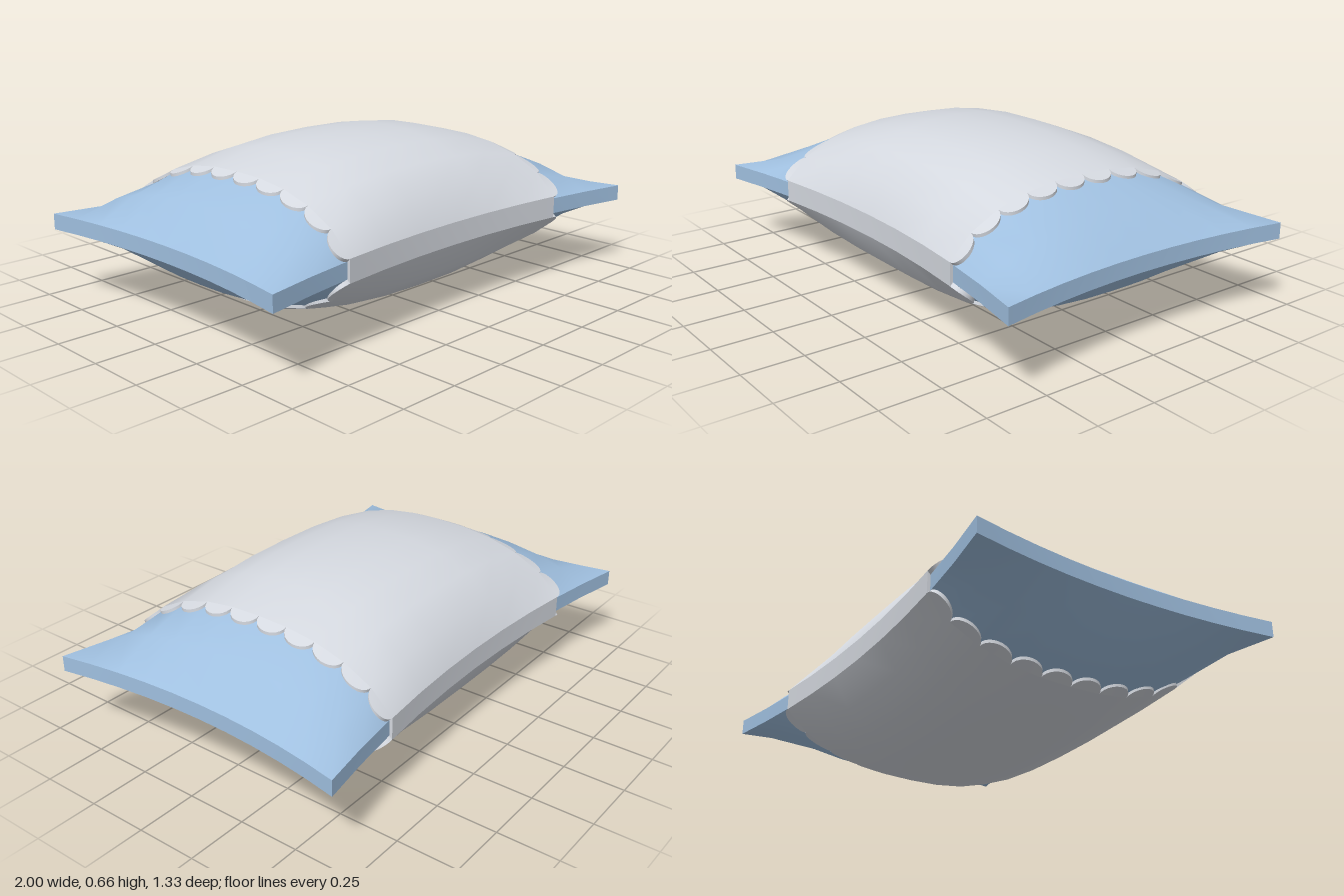
import * as THREE from 'three';
import { mergeGeometries } from 'three/addons/utils/BufferGeometryUtils.js';

const MID = 0.333;      // height of the seam's centre line
const SEAM = 0.0325;    // half height of the seam wall
const PUFF = 0.285;     // bulge above the seam
const CELLS = 10;       // pillow grid
const BAND = 0.6;       // half width of the wrap, as a fraction of the pillow
const LIFT = 0.0125;    // wrap thickness
const LACE = 0.05;      // scallop depth

// Pinched pillow surface at a grid node; u runs along x, v along z, side is +1 top or -1 bottom
function node(u, v, side, lift) {
  const bulge = (t) => 1 - Math.pow(Math.abs(t), 2.5);
  const pu = Math.pow(u, 6) * Math.sign(u), pv = Math.pow(v, 6) * Math.sign(v);
  return new THREE.Vector3(
    u - pu * 0.065 * (1 - v * v) - 0.004 * (1 - v * v) * u * u,
    MID + side * (SEAM + lift + PUFF * bulge(u) * bulge(v)),
    v * 0.665 - pv * (0.104 * (1 - u * u) - lift) - 0.007 * (1 - u * u) * v * v
  );
}

// Blend between grid nodes, so that trims lie flat on the pillow's facets
function surface(u, v, side, lift = 0) {
  const cell = (t) => Math.min(CELLS - 1, Math.max(0, Math.floor((t + 1) * CELLS / 2 + 1e-6)));
  const i = cell(u), j = cell(v);
  const at = (k) => k * 2 / CELLS - 1;
  const fu = (u - at(i)) * CELLS / 2, fv = (v - at(j)) * CELLS / 2;
  const row = (k) => node(at(i), at(k), side, lift).lerp(node(at(i + 1), at(k), side, lift), fu);
  return row(j).lerp(row(j + 1), fv);
}

// Smooth sheet of n by m cells from a point function of (a, b) in 0..1
function sheet(fn, n, m, flip = false) {
  const pos = [], index = [];
  for (let j = 0; j <= m; j++)
    for (let i = 0; i <= n; i++) pos.push(...fn(i / n, j / m).toArray());
  for (let j = 0; j < m; j++)
    for (let i = 0; i < n; i++) {
      const a = j * (n + 1) + i, b = a + 1, c = a + n + 1, d = c + 1;
      if (flip) index.push(a, b, c, b, d, c);
      else index.push(a, c, b, b, c, d);
    }
  const g = new THREE.BufferGeometry();
  g.setAttribute('position', new THREE.Float32BufferAttribute(pos, 3));
  g.setIndex(index);
  g.computeVertexNormals();
  return g;
}

// Bulging panel covering the given share of the pillow's width
const panel = (width, cells, side, lift) =>
  sheet((a, b) => surface((a * 2 - 1) * width, b * 2 - 1, side, lift), cells, CELLS, side < 0);

// Upright strip along the front (+1) or back (-1) edge
const longWall = (width, cells, end, lift) =>
  sheet((a, b) => surface((b * 2 - 1) * width, end, -1, lift)
    .lerp(surface((b * 2 - 1) * width, end, 1, lift), a), 1, cells, end < 0);

// Upright strip along the left (+1) or right (-1) edge
const shortWall = (end) =>
  sheet((a, b) => surface(end, a * 2 - 1, -1).lerp(surface(end, a * 2 - 1, 1), b), CELLS, 1, end < 0);

// Row of scallops along one open end of the wrap, with its thin rim
function scallops(end, side) {
  const steps = 12, total = steps * CELLS;
  const outline = (b) => {
    const k = Math.round(b * total), s = Math.min(CELLS - 1, Math.floor(k / steps));
    const angle = Math.PI * (k - s * steps) / steps;
    return {
      v: (s + 0.5 - 0.5 * Math.cos(angle)) * 2 / CELLS - 1,
      u: BAND + LACE * Math.sin(angle),
    };
  };
  const flip = end * side < 0;
  const face = sheet((a, b) => {
    const p = outline(b);
    return surface(end * (BAND + (p.u - BAND) * a), p.v, side, LIFT);
  }, 1, total, flip);
  const rim = sheet((a, b) => {
    const p = outline(b);
    return surface(end * p.u, p.v, side, LIFT * (1 - a));
  }, 1, total, flip);
  return mergeGeometries([face, rim]);
}

// Closes the gap between wrap and pillow at the seam
const wallRim = (end, z) =>
  sheet((a, b) => surface(end * BAND, z, -1, LIFT * b).lerp(surface(end * BAND, z, 1, LIFT * b), a),
    1, 1, end * z > 0);

export function createModel() {
  const model = new THREE.Group();
  const blue = new THREE.MeshStandardMaterial({ color: 0xa0c0e0, side: THREE.DoubleSide });
  blue.name = 'blue fabric';
  const white = new THREE.MeshStandardMaterial({ color: 0xd5d9e0, side: THREE.DoubleSide });
  white.name = 'pale fabric';

  const add = (name, material, ...geometries) => {
    const mesh = new THREE.Mesh(mergeGeometries(geometries), material);
    mesh.name = name;
    model.add(mesh);
  };

  // Pillow
  add('pillowTop', blue, panel(1, CELLS, 1, 0));
  add('pillowBottom', blue, panel(1, CELLS, -1, 0));
  add('pillowSeam', blue, longWall(1, CELLS, 1, 0), longWall(1, CELLS, -1, 0), shortWall(1), shortWall(-1));

  // Wrap around the middle
  add('wrapTop', white, panel(BAND, 6, 1, LIFT));
  add('wrapBottom', white, panel(BAND, 6, -1, LIFT));
  add('wrapSeam', white, longWall(BAND, 6, 1, LIFT), longWall(BAND, 6, -1, LIFT));

  // Scalloped ends
  for (const end of [1, -1]) {
    const name = end > 0 ? 'left' : 'right';
    add(name + 'ScallopTrim', white, scallops(end, 1), scallops(end, -1), wallRim(end, 1), wallRim(end, -1));
  }
  return model;
}
